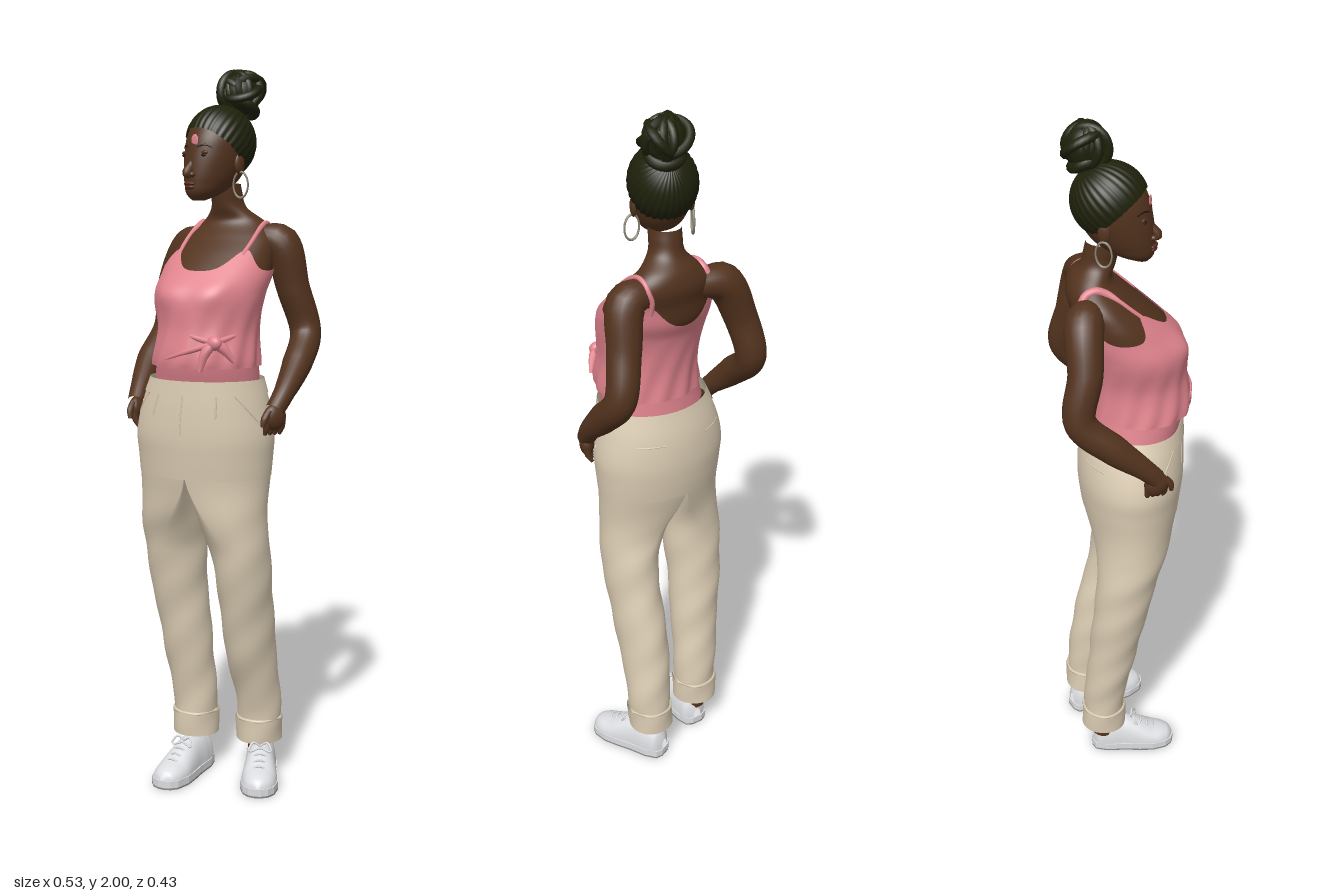
import * as THREE from 'three';

const mat = (name, color, side = THREE.FrontSide) => {
  const m = new THREE.MeshStandardMaterial({ color, side });
  m.name = name;
  return m;
};
const V = (p) => new THREE.Vector3(p[0], p[1], p[2]);
const DEG = Math.PI / 180;

// Smooth interpolation of rows [key, a, b, ...]
function rowCurve(rows) {
  const size = rows[0].length - 1;
  const it = new THREE.CubicInterpolant(rows.map((r) => r[0]), rows.flatMap((r) => r.slice(1)), size, new Float32Array(size));
  return (k) => Array.from(it.evaluate(k));
}

// Closed sheet: fn(u, v) with u around (0..1) and v along (0..1)
function sheet(fn, nu, nv) {
  const pos = [], idx = [];
  for (let j = 0; j <= nv; j++) for (let i = 0; i < nu; i++) pos.push(...fn(i / nu, j / nv));
  for (let j = 0; j < nv; j++) for (let i = 0; i < nu; i++) {
    const k = (i + 1) % nu, a = j * nu + i, b = a + nu, c = j * nu + k, d = c + nu;
    idx.push(a, b, c, c, b, d);
  }
  const g = new THREE.BufferGeometry();
  g.setAttribute('position', new THREE.Float32BufferAttribute(pos, 3));
  g.setIndex(idx);
  g.computeVertexNormals();
  return g;
}

// Body surface from rows [y, halfWidth, halfDepth, centreX, centreZ], turned by yaw;
// half = 1 or -1 keeps only that side, closed by a flat wall
function body(rows, yaw = 0, bump = () => 0) {
  const at = rowCurve(rows), c = Math.cos(yaw), s = Math.sin(yaw);
  return (th, y, off = 0, half = 0) => {
    const [a, b, cx, cz] = at(y), o = off + bump(th, y);
    let lx = (a + o) * Math.cos(th);
    if (lx * half < 0) lx = 0;
    const lz = (b + o) * Math.sin(th);
    return [cx + lx * c + lz * s, y, cz - lx * s + lz * c];
  };
}
const band = (f, lo, hi, off = 0, nu = 56, nv = 36) => sheet((u, v) => {
  const th = u * Math.PI * 2, top = typeof hi === 'function' ? hi(th) : hi;
  return f(th, lo + (top - lo) * v, off);
}, nu, nv);

// Tube through points [x, y, z, radius]
function limb(pts, n = 32, m = 16) {
  const curve = new THREE.CatmullRomCurve3(pts.map(V));
  const g = new THREE.TubeGeometry(curve, n, 1, m), p = g.attributes.position, v = new THREE.Vector3();
  for (let i = 0; i <= n; i++) {
    const c = curve.getPointAt(i / n), t = curve.getUtoTmapping(i / n) * (pts.length - 1);
    const k = Math.min(Math.floor(t), pts.length - 2);
    const r = THREE.MathUtils.lerp(pts[k][3], pts[k + 1][3], t - k);
    for (let j = 0; j <= m; j++) {
      const q = i * (m + 1) + j;
      v.fromBufferAttribute(p, q).sub(c).multiplyScalar(r).add(c);
      p.setXYZ(q, v.x, v.y, v.z);
    }
  }
  return g;
}

export function createModel() {
  const root = new THREE.Group();
  const skin = mat('skin', 0x53331e), hair = mat('hair', 0x1f210b, THREE.DoubleSide);
  const pink = mat('pink cloth', 0xe1848e, THREE.DoubleSide), cream = mat('cream cloth', 0xdccdb4, THREE.DoubleSide);
  const white = mat('white shoe', 0xdcdde0), tread = mat('grey tread', 0x8a8a8a);
  const dark = mat('dark eye', 0x24150d), lip = mat('lips', 0x56291f), metal = mat('earring metal', 0x8f8778);
  const add = (name, geo, m, parent = root) => {
    const mesh = new THREE.Mesh(geo, m);
    mesh.name = name;
    parent.add(mesh);
    return mesh;
  };
  const ball = (name, m, p, s, parent = root) => {
    const b = add(name, new THREE.SphereGeometry(1, 24, 16), m, parent);
    b.position.set(...p);
    b.scale.set(...s);
    return b;
  };
  const YAW = 0.38;

  // Torso and neck
  const bust = (th, y) => [65, 115].reduce((s, d) =>
    s + 0.013 * Math.exp(-(((th / DEG - d) / 17) ** 2) - ((y - 1.405) / 0.04) ** 2), 0);
  const torso = body([
    [1.15, .142, .12, .035, .06], [1.22, .136, .126, .045, .069], [1.3, .13, .125, .045, .064],
    [1.4, .148, .133, .038, .052], [1.45, .15, .126, .033, .022], [1.5, .145, .104, .025, -.006],
    [1.55, .13, .08, .02, -.04], [1.59, .088, .056, .02, -.055], [1.625, .05, .047, .02, -.036],
    [1.67, .043, .046, .02, -.024], [1.73, .043, .048, .02, -.01],
  ], YAW, bust);
  add('torsoAndNeck', band(torso, 1.4, 1.69, 0, 56, 50), skin);

  // Camisole with scooped neckline, soft folds and a loose hem
  const neckline = (th) => {
    const d = th / DEG, peak = (c, w, h) => h * Math.exp(-(((d - c) / w) ** 2));
    return 1.46 + peak(48, 17, .055) + peak(132, 17, .055) + peak(226, 20, .055) + peak(314, 20, .055) - peak(270, 25, .02);
  };
  const drape = (th, y, off) => {
    const low = THREE.MathUtils.clamp((1.4 - y) / 0.18, 0, 1), front = Math.max(0, Math.sin(th));
    return torso(th, y, off + low * (0.004 + 0.01 * front + 0.003 * Math.sin(th * 13 + y * 30)));
  };
  add('camisole', band(drape, 1.205, neckline, .006, 120, 36), pink);
  add('camisoleLowerLayer', band(torso, 1.155, 1.21, .005, 56, 6), pink);
  for (const side of [1, -1]) {
    const wide = side > 0 ? .007 : .011;
    const path = [[50, 1.5], [46, 1.53], [40, 1.555], [26, 1.575], [0, 1.585], [-26, 1.575], [-40, 1.555], [-48, 1.53], [-50, 1.49]]
      .map(([d, y], i) => [...torso((side > 0 ? d : 180 - d) * DEG, y, i > 2 && side < 0 ? -.002 : .001), i > 2 ? wide : .006]);
    add(side > 0 ? 'leftStrap' : 'rightStrap', limb(path, 48, 8), pink);
  }

  // Side knot, its tails and the gathered folds
  const K = torso(60 * DEG, 1.275, .022);
  ball('knot', pink, K, [.024, .02, .018]);
  for (const [d, y] of [[40, 1.225], [74, 1.2]]) {
    const e = torso(d * DEG, y, .024);
    add('knotTail', limb([[...K, .012], [(K[0] + e[0]) / 2, (K[1] + y) / 2 + .012, (K[2] + e[2]) / 2 + .006, .014], [...e, .006]], 12, 8), pink);
  }
  for (const [d, y] of [[118, 1.225], [98, 1.3], [25, 1.3]]) {
    const mid = drape((60 + d) / 2 * DEG, (1.275 + y) / 2, .005), end = drape(d * DEG, y, .003);
    add('gatheredFold', limb([[...K, .009], [...mid, .007], [...end, .003]], 14, 8), pink);
  }

  // Trousers: each leg grows out of its half of the hips
  const crease = (k) => (th, y) => 0.0022 * Math.sin(y * 38 + th * 2 + k) * Math.sin(th + k + y * 9);
  const pelvis = body([
    [.7, .178, .118, .02, .062], [.85, .186, .128, .02, .056], [.95, .194, .141, .02, .054], [1.01, .198, .146, .02, .055],
    [1.09, .183, .143, .025, .057], [1.17, .157, .131, .035, .062],
  ], YAW);
  add('hips', band(pelvis, .9, 1.165, .0008), cream);
  add('waistband', band(pelvis, 1.13, 1.17, .004, 56, 6), cream);
  const legs = {
    right: [[.1, .06, .06, -.077, 0], [.2, .064, .061, -.079, .002], [.4, .073, .07, -.084, .03], [.6, .083, .081, -.088, .06],
      [.8, .095, .094, -.076, .085], [.95, .098, .108, -.07, .08]],
    left: [[.1, .06, .061, .09, -.094], [.2, .063, .064, .092, -.09], [.4, .07, .088, .1, -.045], [.6, .075, .092, .119, -.001],
      [.8, .091, .1, .114, .032], [.95, .098, .112, .11, .04]],
  };
  for (const [side, rows] of Object.entries(legs)) {
    const L = side === 'left', tube = body(rows, YAW, crease(L ? 0 : 2));
    const f = (th, y, off) => {
      const w = THREE.MathUtils.smoothstep(y, .68, .92), h = pelvis(th, Math.max(y, .7), off, L ? 1 : -1);
      const t = tube(th, Math.min(y, .95), off);
      return [t[0] + (h[0] - t[0]) * w, y, t[2] + (h[2] - t[2]) * w];
    };
    add(side + 'TrouserLeg', band(f, .11, .925, 0, 56, 76), cream);
    add(side + 'Cuff', band(f, .105, .172, .006, 40, 6), cream);
    add(side + 'CuffLip', limb([0, 60, 120, 180, 240, 300, 360].map((d) => [...f(d * DEG, .172, .002), .005]), 40, 6), cream);
    const [, , , ax, az] = rows[0];
    add(side + 'Ankle', limb([[ax, .06, az, .034], [ax, .1, az, .033], [ax, .13, az, .037]], 8), skin);
  }
  // Pocket edges, pleats and fly
  const seam = (name, a, b, r = .003) => {
    const pts = [0, .5, 1].map((t) => [...pelvis((a[0] + (b[0] - a[0]) * t) * DEG, a[1] + (b[1] - a[1]) * t, .0), r]);
    add(name, limb(pts, 10, 6), cream);
  };
  seam('leftPocketEdge', [42, 1.13], [14, 1.04]);
  seam('rightPocketEdge', [138, 1.13], [166, 1.04]);
  seam('fly', [92, 1.13], [92, 1.02], .0025);
  for (const d of [60, 120]) seam('pleat', [d, 1.13], [d + 2, 1.07]);
  for (const d of [235, 305]) seam('backPocketEdge', [d - 14, 1.08], [d + 14, 1.08], .0025);

  // Arms with hands tucked in the pockets
  const arms = {
    right: [[-.06, 1.525, -.04, .035], [-.13, 1.522, -.035, .053], [-.19, 1.41, -.018, .046], [-.222, 1.285, -.025, .043],
      [-.2, 1.2, .06, .041], [-.165, 1.13, .13, .029], [-.145, 1.09, .163, .026]],
    left: [[.08, 1.54, -.08, .035], [.145, 1.53, -.108, .053], [.163, 1.41, -.142, .046], [.183, 1.285, -.173, .043],
      [.213, 1.205, -.108, .041], [.234, 1.135, -.037, .029], [.237, 1.09, .003, .026]],
  };
  for (const [side, pts] of Object.entries(arms)) {
    add(side + 'Arm', limb(pts, 48, 20), skin);
    const [x, y, z] = pts[6], L = side === 'left';
    const hand = new THREE.Group();
    hand.name = side + 'Hand';
    hand.position.set(x, y, z);
    hand.rotation.y = L ? 1.35 : -1.0;
    root.add(hand);
    ball('palm', skin, [0, -.018, 0], [.034, .036, .021], hand);
    for (let i = 0; i < 4; i++) {
      const fx = -.023 + i * .0155;
      add('finger', limb([[fx, -.025, 0, .011], [fx, -.045, -.003, .01], [fx, -.066, -.013, .005]], 8, 8), skin, hand);
    }
    const s = L ? -1 : 1;
    add('thumb', limb([[s * .02, .0, .004, .011], [s * .037, -.02, .008, .01], [s * .042, -.042, .006, .006]], 8, 8), skin, hand);
  }

  // Shoes
  const shoeRows = [[-.125, .014, .045], [-.115, .033, .074], [-.08, .043, .096], [-.03, .044, .096], [.02, .049, .077],
    [.06, .051, .056], [.1, .041, .043], [.118, .025, .032], [.125, .006, .018]];
  const shoeAt = rowCurve(shoeRows);
  const upper = () => sheet((u, v) => {
    const z = -.125 + .25 * v, [w, h] = shoeAt(z), a = -u * Math.PI * 2, s = Math.sin(a);
    return [w * Math.cos(a), .012 + (s > 0 ? (h - .002) * s ** .75 : 0), z];
  }, 32, 40);
  const outline = new THREE.Shape();
  outline.setFromPoints([...shoeRows.map(([z, w]) => new THREE.Vector2(w + .003, z * 1.02)),
    ...shoeRows.slice().reverse().map(([z, w]) => new THREE.Vector2(-w - .003, z * 1.02))]);
  const slab = (y, depth) => new THREE.ExtrudeGeometry(outline, { depth, bevelEnabled: false })
    .rotateX(Math.PI / 2).translate(0, y + depth, 0);
  for (const [side, x, z, yaw] of [['right', -.042, .085, .3], ['left', .142, -.045, .74]]) {
    const shoe = new THREE.Group();
    shoe.name = side + 'Shoe';
    shoe.position.set(x, 0, z);
    shoe.rotation.y = yaw;
    root.add(shoe);
    add('upper', upper(), white, shoe);
    add('sole', slab(.005, .02), white, shoe);
    add('tread', slab(0, .005), tread, shoe);
    for (let i = 0; i < 4; i++) {
      const lz = i * .02, h = shoeAt(lz)[1] + .012;
      add('lace', limb([[-.022, h - .012, lz, .003], [0, h, lz + .006, .003], [.022, h - .012, lz, .003]], 8, 6), white, shoe);
    }
    for (const s of [1, -1]) {
      add('laceBow', limb([[0, .1, -.005, .003], [s * .02, .112, .0, .003], [s * .032, .09, .012, .003], [0, .097, .002, .003]], 14, 6), white, shoe);
    }
  }

  // Head: rows give y, half width, front z and back z
  const head = body([
    [1.645, .014, .097, .06], [1.66, .037, .11, .015], [1.69, .057, .114, -.04], [1.73, .071, .112, -.073],
    [1.77, .079, .106, -.09], [1.81, .081, .096, -.096], [1.85, .072, .074, -.084], [1.88, .046, .04, -.055], [1.892, .004, 0, -.01],
  ].map(([y, a, f, b]) => [y, a, (f - b) / 2, .02, (f + b) / 2]));
  add('head', band(head, 1.645, 1.86, 0, 48, 40), skin);
  add('nose', limb([[.02, 1.765, .097, .006], [.02, 1.74, .104, .01], [.02, 1.717, .12, .014], [.02, 1.706, .111, .006]], 16, 12), skin);
  for (const s of [1, -1]) {
    ball('nostril', skin, [.02 + s * .012, 1.713, .111], [.009, .008, .011]);
    const eye = head((90 - s * 27) * DEG, 1.763, -.002);
    ball('eye', dark, eye, [.012, .0035, .004]);
    ball('eyelid', skin, [eye[0], 1.77, eye[2] - .003], [.015, .006, .006]);
    const brow = [12, 28, 42].map((d, i) => [...head((90 - s * d) * DEG, [1.785, 1.79, 1.784][i], -.001), .003]);
    add('eyebrow', limb(brow, 10, 6), dark);
    ball('ear', skin, [.02 + s * .076, 1.742, .0], [.009, .028, .017]);
    const hoop = add('hoopEarring', new THREE.TorusGeometry(.034, .0035, 8, 32), metal);
    hoop.position.set(.02 + s * .081, 1.686, .0);
    hoop.scale.x = .65;
    hoop.rotation.y = s > 0 ? .3 : 1.4;
  }
  ball('upperLip', lip, [.02, 1.689, .111], [.02, .006, .01]);
  ball('lowerLip', lip, [.02, 1.68, .109], [.017, .007, .011]);
  ball('foreheadMark', pink, head(85 * DEG, 1.802, 0), [.013, .017, .003]);

  // Braided hair cap, ridges running up to the bun
  const cap = new THREE.SphereGeometry(1, 160, 24, 0, Math.PI * 2, 0, 1.95), cp = cap.attributes.position;
  for (let i = 0; i < cp.count; i++) {
    const v = new THREE.Vector3().fromBufferAttribute(cp, i);
    v.multiplyScalar(1 + .012 * Math.sin(Math.atan2(v.z, v.x) * 32) * Math.hypot(v.x, v.z));
    cp.setXYZ(i, v.x, v.y, v.z);
  }
  cap.rotateX(-.76).scale(.09, .099, .101).translate(.02, 1.8, -.004);
  cap.computeVertexNormals();
  add('braidedHair', cap, hair);

  // Coiled bun
  const bun = new THREE.Group();
  bun.name = 'bun';
  bun.position.set(.033, 1.935, -.066);
  root.add(bun);
  ball('bunCore', hair, [0, -.005, 0], [.054, .057, .054], bun);
  for (let i = 0; i < 11; i++) {
    const coil = add('coil', new THREE.TorusGeometry(.043 + .004 * (i % 3), .0125, 8, 28), hair, bun);
    coil.rotation.set(i * 1.3, i * 0.83, i * .5);
    coil.position.set(.013 * Math.sin(i * 2.1), .003 * Math.cos(i * 1.7), .011 * Math.cos(i * 2.9));
  }
  const wrap = add('bunWrap', new THREE.TorusGeometry(.04, .015, 10, 32), hair, bun);
  wrap.rotation.x = Math.PI / 2 - .5;
  wrap.position.y = -.04;

  return root;
}
